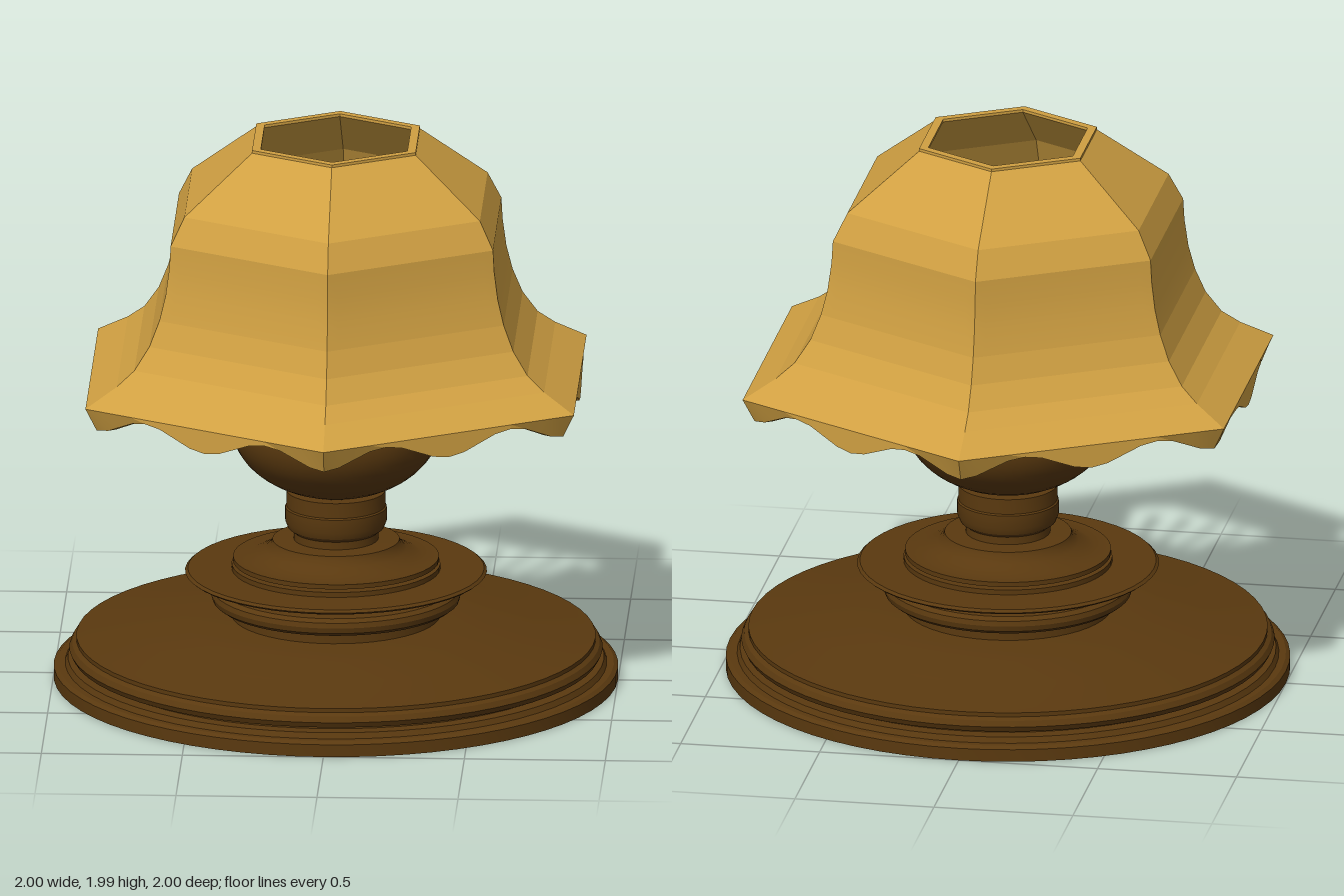
import * as THREE from 'three';
import { toCreasedNormals } from 'three/addons/utils/BufferGeometryUtils.js';

const wood = new THREE.MeshStandardMaterial({ color: 0x5a390f });
wood.name = 'dark bronze';
const amber = new THREE.MeshStandardMaterial({ color: 0xd0a042 });
amber.name = 'amber glass';

function add(parent, name, geometry, material) {
  const mesh = new THREE.Mesh(geometry, material);
  mesh.name = name;
  parent.add(mesh);
  return mesh;
}

// Turned part from [radius, height] pairs, bottom to top
function turned(points, segments = 48) {
  const profile = points.map(([r, y]) => new THREE.Vector2(r, y));
  return toCreasedNormals(new THREE.LatheGeometry(profile, segments), 0.5);
}

// Six-sided shell: a closed loop of rings, outside going down, inside going up
function shadeGeometry() {
  const wall = 0.035;
  const profile = [
    [0.335, 1.99], [0.335, 1.98], [0.605, 1.78], [0.66, 1.68], [0.665, 1.6], [0.68, 1.5],
    [0.705, 1.41], [0.745, 1.32], [0.805, 1.24], [0.875, 1.19], [1.0, 1.125],
  ];
  const rings = profile.map(([r, y]) => ({ r, y, skirt: 0 }));
  rings.push({ r: 1.0, y: 1.04, skirt: 1 }, { r: 1.0 - wall, y: 1.04, skirt: 1 });
  for (const [r, y] of profile.slice().reverse()) rings.push({ r: r - wall, y, skirt: 0 });

  const perSide = 16, count = perSide * 6;
  const positions = [], index = [];
  for (const ring of rings) {
    for (let j = 0; j < count; j++) {
      const side = Math.floor(j / perSide), t = (j % perSide) / perSide;
      const a = side * Math.PI / 3, b = a + Math.PI / 3;
      // Scalloped hem: low at the corners and mid-sides, tucked in at the corners
      const scallop = ring.skirt * 0.07 * (1 - Math.cos(4 * Math.PI * t)) / 2;
      const tuck = ring.skirt * 0.045 * Math.max(0, 1 - 4 * Math.min(t, 1 - t));
      const r = ring.r - tuck;
      positions.push(
        r * (Math.sin(a) * (1 - t) + Math.sin(b) * t),
        ring.y + scallop,
        r * (Math.cos(a) * (1 - t) + Math.cos(b) * t));
    }
  }
  for (let i = 0; i < rings.length; i++) {
    const k = (i + 1) % rings.length;
    for (let j = 0; j < count; j++) {
      const n = (j + 1) % count;
      const p = i * count + j, q = i * count + n, s = k * count + j, u = k * count + n;
      index.push(p, s, u, p, u, q);
    }
  }
  const geometry = new THREE.BufferGeometry();
  geometry.setAttribute('position', new THREE.Float32BufferAttribute(positions, 3));
  geometry.setIndex(index);
  return toCreasedNormals(geometry, 0.12);
}

// Curved flat rib that rises outward from the globe
function ribGeometry() {
  const shape = new THREE.Shape();
  shape.moveTo(0.13, 1.16);
  shape.quadraticCurveTo(0.36, 1.25, 0.46, 1.46);
  shape.lineTo(0.43, 1.49);
  shape.quadraticCurveTo(0.33, 1.29, 0.13, 1.2);
  shape.closePath();
  const geometry = new THREE.ExtrudeGeometry(shape, { depth: 0.03, bevelEnabled: false, curveSegments: 6 });
  geometry.translate(0, 0, -0.015);
  return geometry;
}

export function createModel() {
  const lamp = new THREE.Group();
  lamp.name = 'tableLamp';

  // Broad stepped foot
  add(lamp, 'foot', turned([
    [0, 0], [1, 0], [1, 0.045], [0.985, 0.055], [0.96, 0.055], [0.95, 0.075], [0.9, 0.075],
    [0.9, 0.09], [0.935, 0.09], [0.945, 0.11], [0.935, 0.13], [0.92, 0.14], [0.92, 0.155],
    [0.88, 0.16], [0.7, 0.19], [0.55, 0.215], [0.42, 0.23], [0, 0.235],
  ], 64), wood);

  // Drum with a rounded ring
  add(lamp, 'drum', turned([
    [0.37, 0.22], [0.37, 0.275], [0.42, 0.275], [0.437, 0.288], [0.442, 0.308],
    [0.437, 0.326], [0.42, 0.338], [0.37, 0.338], [0.37, 0.42], [0, 0.42],
  ]), wood);

  // Thin wide collar
  add(lamp, 'collar', turned([
    [0.3, 0.385], [0.525, 0.385], [0.535, 0.393], [0.525, 0.402], [0.3, 0.402],
  ]), wood);

  // Stepped neck
  add(lamp, 'neck', turned([
    [0.33, 0.415], [0.33, 0.43], [0.365, 0.43], [0.365, 0.447], [0.31, 0.447], [0.28, 0.46],
    [0.25, 0.475], [0.23, 0.495], [0.225, 0.51], [0.15, 0.512], [0.15, 0.54], [0.17, 0.555],
    [0.18, 0.58], [0.18, 0.63], [0.175, 0.635], [0.175, 0.69], [0, 0.69],
  ]), wood);

  // Flattened globe
  const globe = add(lamp, 'globe', new THREE.SphereGeometry(0.372, 40, 24), wood);
  globe.scale.y = 0.7;
  globe.position.y = 0.935;

  // Fan of ribs holding the shade
  const fan = new THREE.Group();
  fan.name = 'ribFan';
  lamp.add(fan);
  const rib = ribGeometry();
  const ribCount = 24;
  for (let i = 0; i < ribCount; i++) {
    add(fan, 'rib', rib, wood).rotation.y = (i + 0.5) * 2 * Math.PI / ribCount;
  }

  // Hub and finial at the centre of the fan
  add(lamp, 'hub', turned([
    [0.15, 1.15], [0.15, 1.2], [0.08, 1.21], [0.08, 1.23], [0.055, 1.24], [0, 1.24],
  ], 24), wood);
  add(lamp, 'finial', new THREE.SphereGeometry(0.042, 16, 10), amber).position.y = 1.25;

  // Six-sided shade with scalloped hem
  add(lamp, 'shade', shadeGeometry(), amber);

  return lamp;
}
